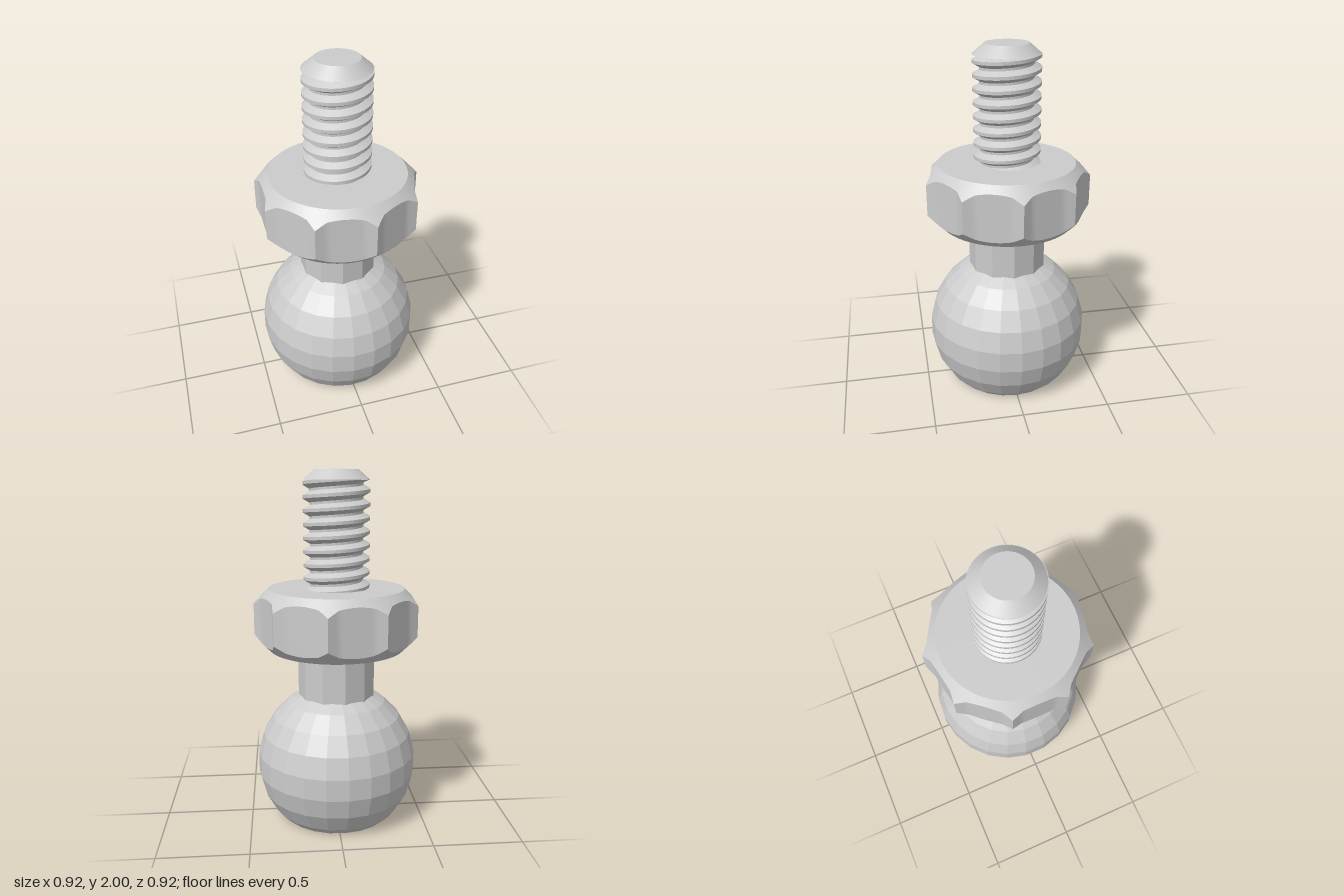
import * as THREE from 'three';
import { toCreasedNormals } from 'three/addons/utils/BufferGeometryUtils.js';

const TAU = Math.PI * 2;

// Skin of columns around the y axis; section(angle, i) returns [radius, y] pairs from bottom to top.
function sweepAround(angles, section, crease) {
  const pos = [], index = [];
  let rows = 0;
  angles.forEach((a, i) => {
    const pts = section(a, i);
    rows = pts.length;
    for (const [r, y] of pts) pos.push(r * Math.cos(a), y, -r * Math.sin(a));
  });
  for (let i = 0; i < angles.length - 1; i++) {
    for (let j = 0; j < rows - 1; j++) {
      const a = i * rows + j, b = a + rows;
      index.push(a, b, a + 1, b, b + 1, a + 1);
    }
  }
  const geo = new THREE.BufferGeometry();
  geo.setAttribute('position', new THREE.Float32BufferAttribute(pos, 3));
  geo.setIndex(index);
  return toCreasedNormals(geo, crease);
}

// Faceted ball with its flat foot
function ballGeometry() {
  const R = 0.464, cy = 0.325, step = Math.PI / 12;
  const pts = [new THREE.Vector2(0, 0), new THREE.Vector2(0.326, 0)];
  for (let k = -2.5; k < 6; k++) {
    pts.push(new THREE.Vector2(R * Math.cos(k * step), cy + R * Math.sin(k * step)));
  }
  pts.push(new THREE.Vector2(0, pts[pts.length - 1].y));
  return new THREE.LatheGeometry(pts, 23).rotateY(Math.PI / 2);
}

// Nine-toothed grip ring, chamfered by cones above and below
function gripGeometry() {
  const teeth = 9, pitch = TAU / teeth, y0 = 1.01, y1 = 1.355, inner = 0.383;
  const polar = (r, a) => new THREE.Vector2(r * Math.cos(a), r * Math.sin(a));
  const outline = [];
  for (let k = 0; k < teeth; k++) {
    const a = k * pitch, base = THREE.MathUtils.degToRad(7);
    const corners = [polar(0.467, a), polar(0.432, a + base),
      polar(0.432, a + pitch - base), polar(0.467, a + pitch)];
    [3, 8, 3].forEach((n, e) => {
      for (let s = 0; s < n; s++) outline.push(corners[e].clone().lerp(corners[e + 1], s / n));
    });
  }
  outline.push(outline[0].clone());
  const angles = outline.map((p, i) => (i === outline.length - 1 ? TAU : p.angle()));
  return sweepAround(angles, (a, i) => {
    const r = outline[i].length(), drop = r - inner;
    return [[0, y0], [inner, y0], [r, y0 + drop], [r, y1 - drop], [inner, y1], [0, y1]];
  }, 0.3);
}

// Right-hand helical thread, trimmed flat at both ends
function threadGeometry() {
  const pitch = 0.074, start = 1.261, low = 1.33, high = 1.946, n = 48;
  const crest = 0.185, root = 0.148;
  const tooth = [[crest, -0.12], [crest, 0.12], [root, 0.41], [root, 0.59]];
  const angles = Array.from({ length: n + 1 }, (_, i) => (i / n) * TAU);
  return sweepAround(angles, (a) => {
    const pts = [];
    for (let turn = -1; turn < 11; turn++) {
      for (const [r, v] of tooth) {
        const y = start + pitch * (a / TAU + turn + v);
        pts.push([r, THREE.MathUtils.clamp(y, low, high)]);
      }
    }
    return pts;
  }, 0.5);
}

export function createModel() {
  const group = new THREE.Group();
  const smooth = new THREE.MeshStandardMaterial({ color: 0xcccccc });
  const faceted = new THREE.MeshStandardMaterial({ color: 0xcccccc, flatShading: true });
  const add = (name, geo, mat) => {
    const mesh = new THREE.Mesh(geo, mat);
    mesh.name = name;
    mesh.position.x = -0.007;
    group.add(mesh);
    return mesh;
  };

  add('ball', ballGeometry(), faceted);

  // Eleven-sided neck between ball and grip
  const neck = new THREE.CylinderGeometry(0.22, 0.22, 0.4, 11).rotateY(Math.PI / 2);
  add('neck', neck.translate(0, 0.85, 0), faceted);

  add('gripRing', gripGeometry(), smooth);
  add('thread', threadGeometry(), smooth);

  // Chamfered end of the screw
  add('screwTip', new THREE.CylinderGeometry(0.12, 0.184, 0.056, 64).translate(0, 1.972, 0), smooth);

  return group;
}
